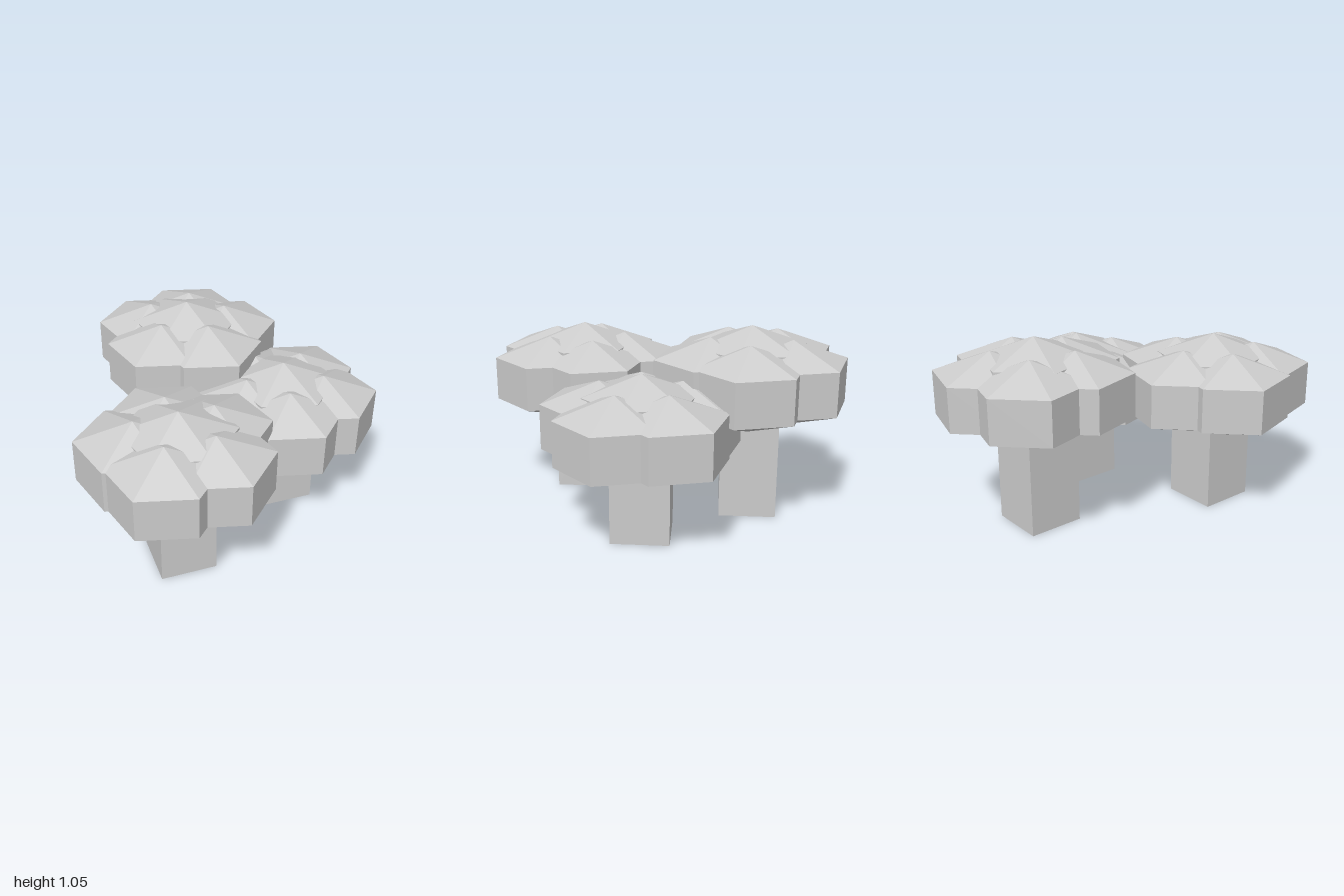
import * as THREE from 'three';

export function createModel() {
  const model = new THREE.Group();
  model.name = 'treeCluster';
  const grey = new THREE.MeshStandardMaterial({ color: 0xcccccc, flatShading: true, side: THREE.DoubleSide });
  grey.name = 'light grey';

  // Six-sided foliage clump: straight band with a shallow point above and below
  const R = 0.311, BAND = 0.243, POINT = 0.112;
  const profile = [[0, -POINT], [R, 0], [R, BAND], [0, BAND + POINT]].map(([x, y]) => new THREE.Vector2(x, y));
  const clumpGeo = new THREE.LatheGeometry(profile, 6).toNonIndexed();
  clumpGeo.computeVertexNormals();

  function add(parent, name, geo, x, y, z) {
    const mesh = new THREE.Mesh(geo, grey);
    mesh.name = name;
    mesh.position.set(x, y, z);
    parent.add(mesh);
  }

  // x, z: trunk centre; band: underside height of the clump band; turn: angle of the first clump
  const trees = [
    { name: 'leftBackTree', x: -0.337, z: -0.47, band: 0.64, turn: 30.6 },
    { name: 'rightBackTree', x: 0.336, z: -0.346, band: 0.469, turn: -14 },
    { name: 'frontTree', x: 0.088, z: 0.462, band: 0.559, turn: 8.3 },
  ];

  for (const t of trees) {
    const tree = new THREE.Group();
    tree.name = t.name;
    tree.position.set(t.x, 0, t.z);
    model.add(tree);

    // Hollow square trunk with a slim core inside
    const h = t.band + 0.1;
    add(tree, 'trunk', new THREE.CylinderGeometry(0.221, 0.221, h, 4, 1, true), 0, h / 2, 0);
    add(tree, 'trunkCore', new THREE.CylinderGeometry(0.088, 0.088, h, 4), 0, h / 2, 0);

    // Raised middle clump ringed by five more
    add(tree, 'middleClump', clumpGeo, 0, t.band + 0.056, 0);
    for (let i = 0; i < 5; i++) {
      const a = THREE.MathUtils.degToRad(t.turn + i * 72);
      add(tree, 'outerClump', clumpGeo, 0.23 * Math.cos(a), t.band, 0.23 * Math.sin(a));
    }
  }
  return model;
}
